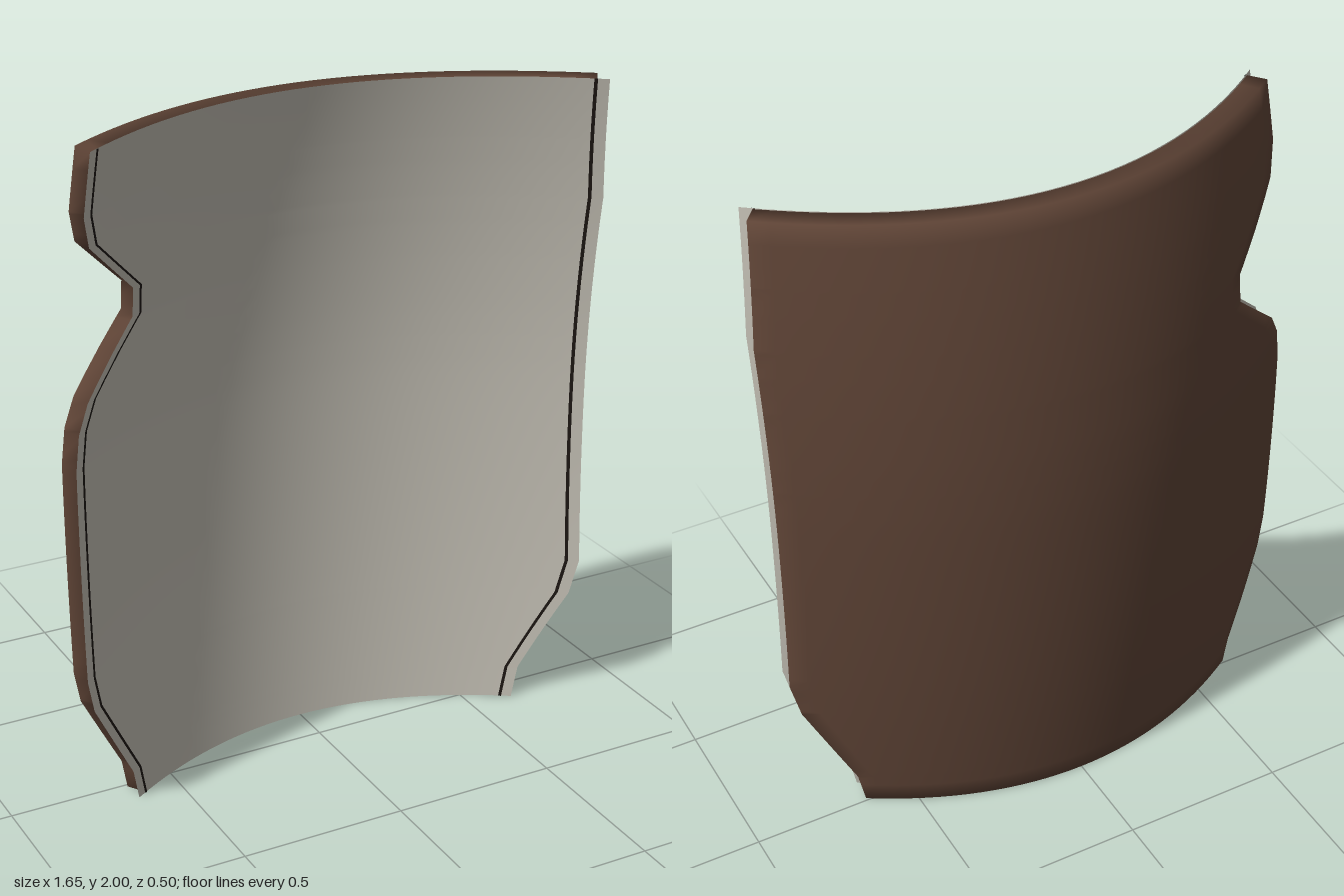
import * as THREE from 'three';

const leather = new THREE.MeshStandardMaterial({ color: 0x5f4436 });
leather.name = 'brown';
const lining = new THREE.MeshStandardMaterial({ color: 0xc2beb3, side: THREE.DoubleSide });
lining.name = 'pale grey';
const seamDark = new THREE.MeshStandardMaterial({ color: 0x1c1612, side: THREE.DoubleSide });
seamDark.name = 'near black';

// Side outlines as [y, x]; the one at -x carries the lance notch
const NOTCHED = [[0, -0.61], [0.09, -0.625], [0.37, -0.77], [0.47, -0.79], [1.1, -0.79], [1.2, -0.775],
  [1.275, -0.735], [1.455, -0.55], [1.54, -0.55], [1.725, -0.735], [1.82, -0.762], [2, -0.75]];
const PLAIN = [[0, 0.61], [0.1, 0.63], [0.36, 0.76], [0.47, 0.785], [1.64, 0.785], [2, 0.755]];
const BOW = 0.51, THICK = 0.06, COLS = 32;

function edgeX(line, y) {
  let i = 1;
  while (i < line.length - 1 && y > line[i][0]) i++;
  const [y0, x0] = line[i - 1], [y1, x1] = line[i];
  return x0 + (x1 - x0) * (y - y0) / (y1 - y0);
}

// Hollow face of the shield, bowed both across and up
const faceZ = (x, y) => -0.19 + (y > 1 ? 0.12 : 0.06) * (y - 1) ** 2 + BOW * x * x;

// Point a given distance in front of (or behind) the hollow face
function surfacePoint(x, y, offset) {
  const slope = 2 * BOW * x, len = Math.hypot(1, slope);
  return [x - slope / len * offset, y, faceZ(x, y) + offset / len];
}

// Row heights: every outline corner plus an even spacing between
const heights = [...NOTCHED, ...PLAIN].map(p => p[0]);
for (let i = 0; i <= 32; i++) heights.push(i / 16);
const ROWS = heights.sort((a, b) => a - b).filter((y, i, a) => i === 0 || y - a[i - 1] > 0.004);

// Joins rows of points into one smooth surface
function loft(rows, closed) {
  const n = rows[0].length, index = [];
  const wraps = closed ? n : n - 1;
  for (let r = 0; r < rows.length - 1; r++) {
    for (let i = 0; i < wraps; i++) {
      const a = r * n + i, b = r * n + (i + 1) % n;
      index.push(a, b, b + n, a, b + n, a + n);
    }
  }
  if (closed) {
    const top = (rows.length - 1) * n;
    for (let i = 0; i < n / 2 - 1; i++) {
      const j = n - 1 - i;
      index.push(top + i, top + i + 1, top + j - 1, top + i, top + j - 1, top + j);
      index.push(i, j - 1, i + 1, i, j, j - 1);
    }
  }
  const g = new THREE.BufferGeometry();
  g.setAttribute('position', new THREE.Float32BufferAttribute(rows.flat(2), 3));
  g.setIndex(index);
  g.computeVertexNormals();
  return g;
}

// One row of points between two x positions
function span(x0, x1, y, offset, cols) {
  return Array.from({ length: cols + 1 }, (_, i) => surfacePoint(x0 + (x1 - x0) * i / cols, y, offset));
}

export function createModel() {
  const group = new THREE.Group();
  group.name = 'curvedShield';
  const add = (name, geometry, material) => {
    const mesh = new THREE.Mesh(geometry, material);
    mesh.name = name;
    group.add(mesh);
  };

  // Thick body
  add('shieldBody', loft(ROWS.map(y => {
    const l = edgeX(NOTCHED, y), r = edgeX(PLAIN, y);
    return [...span(l, r, y, 0, COLS), ...span(l, r, y, -THICK, COLS).reverse()];
  }), true), leather);

  // Lining sheet, reaching a little past the body on both sides
  add('innerLining', loft(ROWS.map(y =>
    span(edgeX(NOTCHED, y) - 0.028, edgeX(PLAIN, y) + 0.03, y, 0.004, COLS)), false), lining);

  // Thin dark seams along the sides
  for (const [name, line] of [['rightSeam', NOTCHED], ['leftSeam', PLAIN]]) {
    add(name, loft(ROWS.map(y => {
      const x = edgeX(line, y);
      return span(x - 0.004, x + 0.004, y, 0.006, 1);
    }), false), seamDark);
  }
  return group;
}
